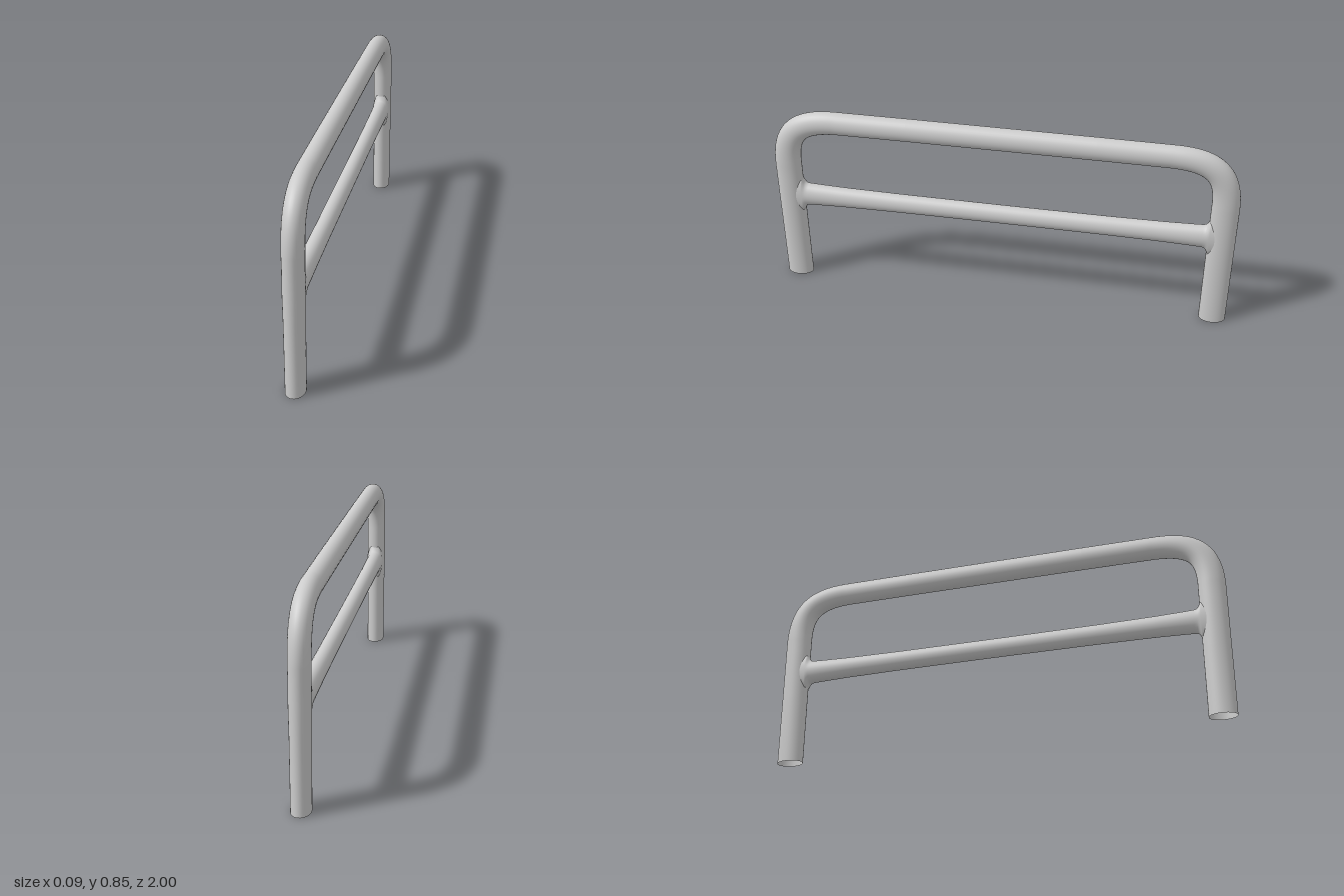
import * as THREE from 'three';

const SIDES = 32;

// Sweep an elliptical section along stations [z, y, half height in plane, half width in x].
function sweep(stations, material, name) {
  const pos = [], index = [], last = stations.length - 1;
  stations.forEach(([z, y, rn, rx], i) => {
    const p = stations[Math.max(i - 1, 0)], q = stations[Math.min(i + 1, last)];
    const t = new THREE.Vector2(q[0] - p[0], q[1] - p[1]).normalize();
    for (let j = 0; j < SIDES; j++) {
      const a = (j / SIDES) * Math.PI * 2;
      const n = rn * Math.cos(a);
      pos.push(rx * Math.sin(a), y - t.x * n, z + t.y * n);
      if (i < last) {
        const k = (j + 1) % SIDES, r = i * SIDES, s = r + SIDES;
        index.push(r + j, r + k, s + j, r + k, s + k, s + j);
      }
    }
  });
  const geo = new THREE.BufferGeometry();
  geo.setAttribute('position', new THREE.Float32BufferAttribute(pos, 3));
  geo.setIndex(index);
  geo.computeVertexNormals();
  const mesh = new THREE.Mesh(geo, material);
  mesh.name = name;
  return mesh;
}

// Complete a half list of stations (ending before z = 0) with its mirror image.
const mirrored = (half) => [...half, ...half.slice().reverse().map(([z, ...rest]) => [-z, ...rest])];

export function createModel() {
  const group = new THREE.Group();
  group.name = 'railing';
  const material = new THREE.MeshStandardMaterial({ color: 0xcccccc, side: THREE.DoubleSide });

  // Legs and top rail: one bent tube, open at the feet
  const legZ = 0.942, railY = 0.8;
  const half = [[legZ, 0, 0.058, 0.04], [legZ, 0.3, 0.058, 0.041], [legZ, 0.43, 0.058, 0.043], [legZ, 0.52, 0.058, 0.042]];
  const bend = new THREE.CubicBezierCurve(
    new THREE.Vector2(legZ, 0.58), new THREE.Vector2(legZ, 0.74),
    new THREE.Vector2(0.88, railY), new THREE.Vector2(0.7, railY));
  for (let i = 0; i <= 20; i++) {
    const p = bend.getPoint(i / 20);
    half.push([p.x, p.y, THREE.MathUtils.lerp(0.058, 0.05, i / 20), 0.043]);
  }
  half.push([0.4, railY + 0.001, 0.05, 0.043]);
  group.add(sweep(mirrored(half), material, 'legsAndTopRail'));

  // Cross bar, swelling towards the ends and flaring into the legs
  const barY = 0.427;
  const bar = [
    [0.93, 0.09, 0.036], [0.891, 0.09, 0.038], [0.885, 0.077, 0.038], [0.879, 0.064, 0.038],
    [0.872, 0.055, 0.038], [0.86, 0.052, 0.038], [0.82, 0.05, 0.038], [0.7, 0.046, 0.037], [0.45, 0.043, 0.036], [0.1, 0.042, 0.036],
  ].map(([z, ry, rx]) => [z, barY, ry, rx]);
  group.add(sweep(mirrored(bar), material, 'crossBar'));

  return group;
}
